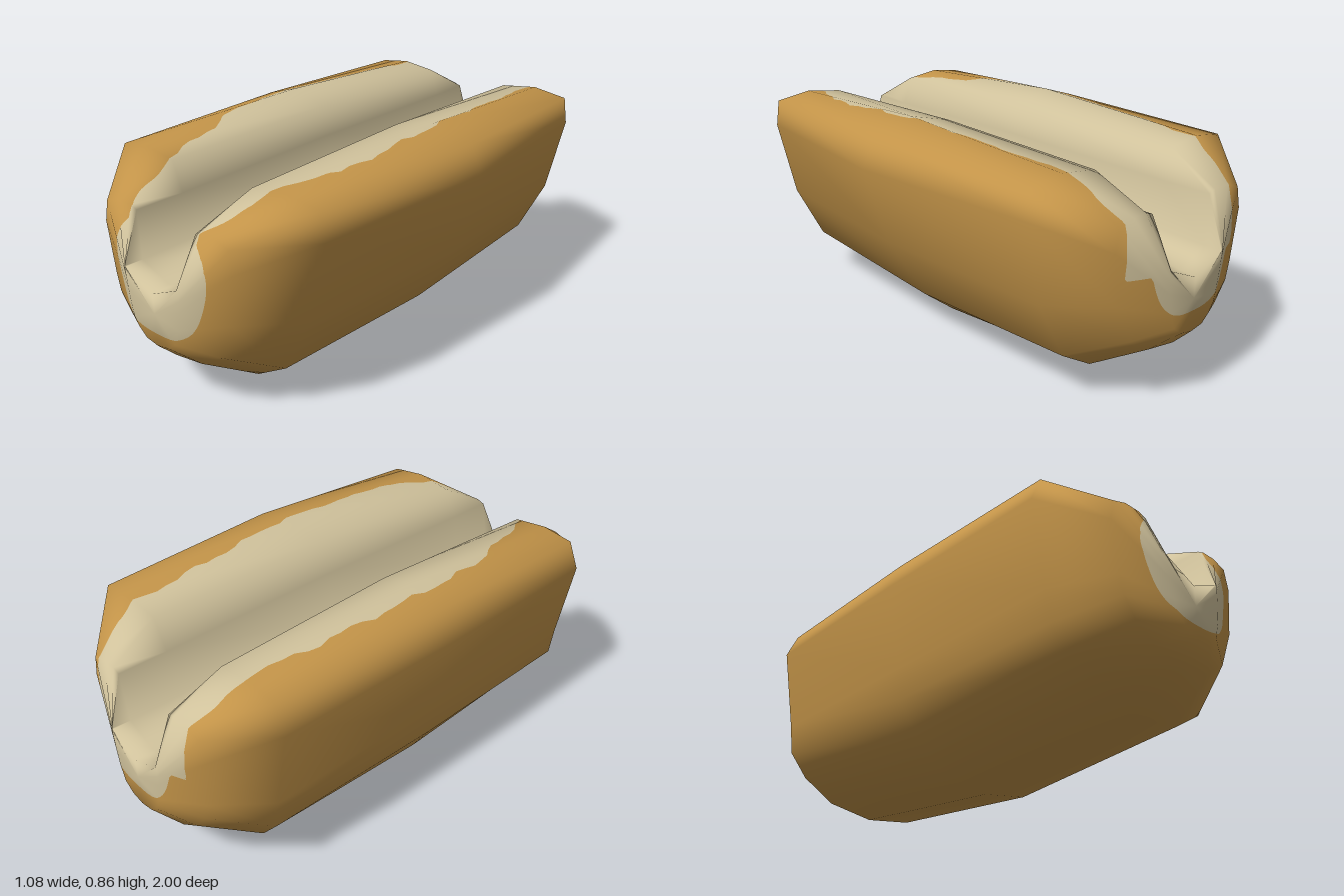
import * as THREE from 'three';

// U-shaped cross-sections (x, y), counter-clockwise from the bottom, same corner count
const middle = [[-.055, 0], [.145, .035], [.28, .14], [.445, .4], [.54, .7], [.49, .815], [.325, .857],
  [.155, .815], [.1, .7], [.045, .53], [-.055, .517], [-.155, .53], [-.18, .7], [-.205, .815],
  [-.355, .857], [-.49, .815], [-.54, .7], [-.475, .385], [-.465, .26], [-.385, .14], [-.25, .035]];
const shoulder = [[-.055, .07], [.145, .1], [.28, .18], [.395, .4], [.465, .7], [.45, .8], [.31, .82],
  [.16, .8], [.1, .69], [.06, .52], [-.055, .49], [-.17, .52], [-.185, .69], [-.225, .8],
  [-.36, .817], [-.485, .8], [-.53, .7], [-.475, .385], [-.46, .27], [-.385, .18], [-.25, .1]];
const nose = [[-.055, .19], [.08, .21], [.17, .27], [.235, .41], [.265, .6], [.25, .68], [.19, .7],
  [.13, .7], [.1, .69], [.07, .51], [-.055, .46], [-.185, .51], [-.19, .69], [-.22, .7],
  [-.29, .7], [-.35, .68], [-.37, .6], [-.345, .41], [-.33, .34], [-.28, .27], [-.19, .21]];
const tip = [[-.055, .26], [0, .27], [.04, .3], [.06, .36], [.07, .43], [.074, .47], [.076, .49],
  [.077, .505], [.075, .512], [.07, .51], [-.055, .455], [-.185, .51], [-.19, .512], [-.192, .505],
  [-.19, .49], [-.187, .47], [-.183, .43], [-.172, .36], [-.165, .33], [-.145, .3], [-.11, .27]];
const stations = [[tip, 1], [nose, .93], [shoulder, .74], [middle, 0],
  [shoulder, -.74], [nose, -.93], [tip, -1]];

// Coarse bun body lofted through the sections, with smooth normals
function loft() {
  const n = middle.length, pos = [], index = [];
  for (const [ring, z] of stations) for (const [x, y] of ring) pos.push(x, y, z);
  for (let s = 0; s < stations.length - 1; s++) {
    for (let i = 0; i < n; i++) {
      const a = s * n + i, b = s * n + (i + 1) % n;
      index.push(a, a + n, b, b, a + n, b + n);
    }
  }
  const front = pos.length / 3, back = front + 1, last = (stations.length - 1) * n;
  pos.push(-.055, .38, 1, -.055, .38, -1);
  for (let i = 0; i < n; i++) {
    const j = (i + 1) % n;
    index.push(front, i, j, back, last + j, last + i);
  }
  const g = new THREE.BufferGeometry();
  g.setAttribute('position', new THREE.Float32BufferAttribute(pos, 3));
  g.setIndex(index);
  g.computeVertexNormals();
  return g;
}

// Piecewise linear lookup in [z, value] pairs
function lookup(table, z) {
  for (let i = 1; i < table.length; i++) {
    const [z0, v0] = table[i - 1], [z1, v1] = table[i];
    if (z <= z1) return THREE.MathUtils.lerp(v0, v1, Math.max(0, (z - z0) / (z1 - z0)));
  }
  return table[table.length - 1][1];
}
const leftEdge = [[-1, -.27], [-.9, -.32], [-.5, -.37], [0, -.4], [.3, -.39], [.45, -.33],
  [.6, -.29], [.75, -.24], [.93, -.215], [1, -.24]];
const rightEdge = [[-1, .2], [-.9, .25], [-.75, .27], [-.4, .3], [0, .335], [.5, .335],
  [.65, .27], [.8, .23], [.93, .12], [1, .12]];

// Positive where the pale crumb shows: along the slot and in a patch on each end
function crumbField(p) {
  const wave = .008 * Math.sin(p.z * 23) + .005 * Math.sin(p.z * 51 + 1);
  const slot = Math.min(p.x - lookup(leftEdge, p.z) + wave,
    lookup(rightEdge, p.z) - p.x + wave, p.y - .5);
  const r = p.z > 0 ? .22 : .19;
  const ripple = .03 * Math.sin(5 * Math.atan2(p.y - .52, p.x + .05));
  const patch = r * (1 + ripple - Math.hypot((p.x + .05) / r, (p.y - .52) / r));
  return Math.max(slot, patch);
}

const mix = (a, b, t) => ({ p: a.p.clone().lerp(b.p, t), n: a.n.clone().lerp(b.n, t) });

// Divide a triangle, then cut it along the crust line
function divide(a, b, c, level, out) {
  if (level > 0) {
    const ab = mix(a, b, .5), bc = mix(b, c, .5), ca = mix(c, a, .5);
    for (const t of [[a, ab, ca], [ab, b, bc], [ca, bc, c], [ab, bc, ca]]) divide(...t, level - 1, out);
    return;
  }
  const corners = [a, b, c], f = corners.map(v => crumbField(v.p));
  for (const [sign, list] of [[1, out.crumb], [-1, out.crust]]) {
    const poly = [];
    for (let i = 0; i < 3; i++) {
      const j = (i + 1) % 3;
      if ((f[i] > 0) === (sign > 0)) poly.push(corners[i]);
      if ((f[i] > 0) !== (f[j] > 0)) poly.push(mix(corners[i], corners[j], f[i] / (f[i] - f[j])));
    }
    for (let i = 2; i < poly.length; i++) list.push(poly[0], poly[i - 1], poly[i]);
  }
}

function toMesh(name, list, material) {
  const g = new THREE.BufferGeometry();
  g.setAttribute('position', new THREE.Float32BufferAttribute(list.flatMap(v => v.p.toArray()), 3));
  g.setAttribute('normal', new THREE.Float32BufferAttribute(
    list.flatMap(v => v.n.clone().normalize().toArray()), 3));
  const mesh = new THREE.Mesh(g, material);
  mesh.name = name;
  return mesh;
}

export function createModel() {
  const crustBrown = new THREE.MeshStandardMaterial({ color: 0xc29348 });
  crustBrown.name = 'crustBrown';
  const crumbCream = new THREE.MeshStandardMaterial({ color: 0xcfc19b });
  crumbCream.name = 'crumbCream';

  const body = loft(), index = body.index.array, out = { crust: [], crumb: [] };
  const vertex = i => ({
    p: new THREE.Vector3().fromBufferAttribute(body.attributes.position, i),
    n: new THREE.Vector3().fromBufferAttribute(body.attributes.normal, i),
  });
  for (let i = 0; i < index.length; i += 3) {
    divide(vertex(index[i]), vertex(index[i + 1]), vertex(index[i + 2]), 4, out);
  }

  const group = new THREE.Group();
  group.name = 'splitBun';
  group.add(toMesh('crust', out.crust, crustBrown), toMesh('crumb', out.crumb, crumbCream));
  return group;
}
